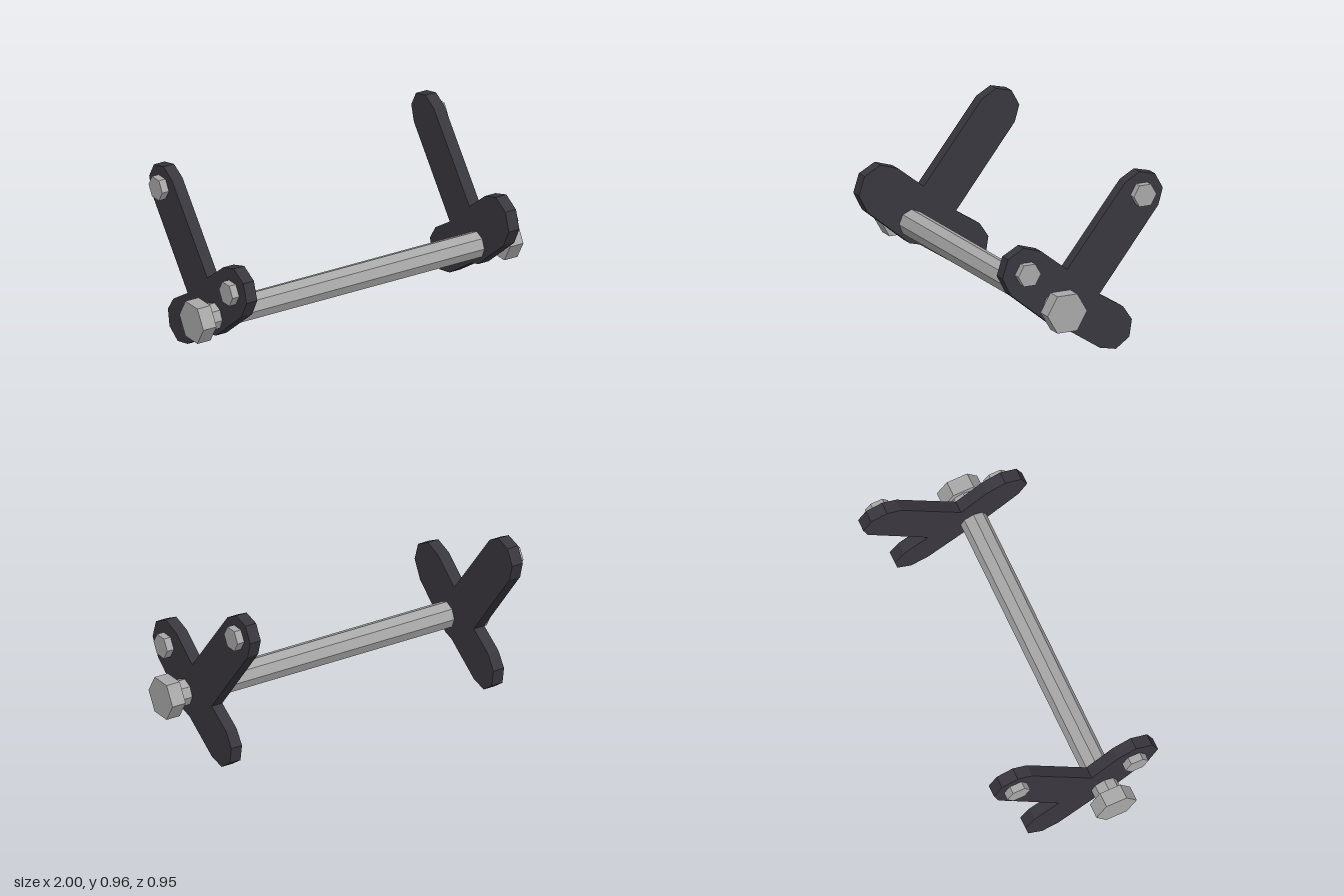
import * as THREE from 'three';

export function createModel() {
  const model = new THREE.Group();
  model.name = 'axleBracket';

  const darkMetal = new THREE.MeshStandardMaterial({ name: 'darkMetal', color: 0x39373e, flatShading: true });
  const steel = new THREE.MeshStandardMaterial({ name: 'steel', color: 0xa8a8a8, flatShading: true });

  function add(parent, name, geometry, material) {
    const mesh = new THREE.Mesh(geometry, material);
    mesh.name = name;
    parent.add(mesh);
    return mesh;
  }

  // Prism lying along x between x0 and x1
  function prism(radius, sides, x0, x1, y, z) {
    return new THREE.CylinderGeometry(radius, radius, x1 - x0, sides)
      .rotateZ(Math.PI / 2)
      .translate((x0 + x1) / 2, y, z);
  }

  // Three-armed side plate outline, as [z, y]
  const outline = [
    [-0.337, 0.957], [-0.429, 0.934], [-0.475, 0.85], [-0.449, 0.759], // long rear arm
    [-0.1, 0.317],
    [-0.24, 0.228], [-0.292, 0.15], [-0.277, 0.056], [-0.197, 0], [-0.102, 0.02], // lower arm
    [0.115, 0.162], [0.175, 0.178],
    [0.424, 0.383], [0.475, 0.482], [0.442, 0.584], [0.348, 0.634], [0.244, 0.601], // front arm
    [0.091, 0.48], [-0.254, 0.911],
  ].map(([z, y]) => new THREE.Vector2(z, y));
  const thickness = 0.066;

  // Octagonal axle
  const axleY = 0.289, axleZ = 0.163;
  add(model, 'axle', prism(0.074, 8, -0.92, 0.92, axleY, axleZ), steel);

  // Plates, axle heads and bolts, mirrored left and right
  for (const side of [1, -1]) {
    const group = new THREE.Group();
    group.name = side > 0 ? 'leftBracket' : 'rightBracket';
    model.add(group);

    const plate = new THREE.ExtrudeGeometry(new THREE.Shape(outline), { depth: thickness, bevelEnabled: false })
      .rotateY(-Math.PI / 2)
      .translate(side * 0.819 + thickness / 2, 0, 0);
    add(group, 'sidePlate', plate, darkMetal);

    const hexBolt = (name, r, near, far, y, z) => add(group, name,
      prism(r, 6, Math.min(side * near, side * far), Math.max(side * near, side * far), y, z), steel);
    hexBolt('axleHead', 0.117, 0.918, 1, 0.288, 0.167);
    hexBolt('rearBolt', 0.067, 0.82, 0.893, 0.835, -0.35);
    hexBolt('frontBolt', 0.067, 0.82, 0.893, 0.493, 0.335);
  }

  return model;
}
